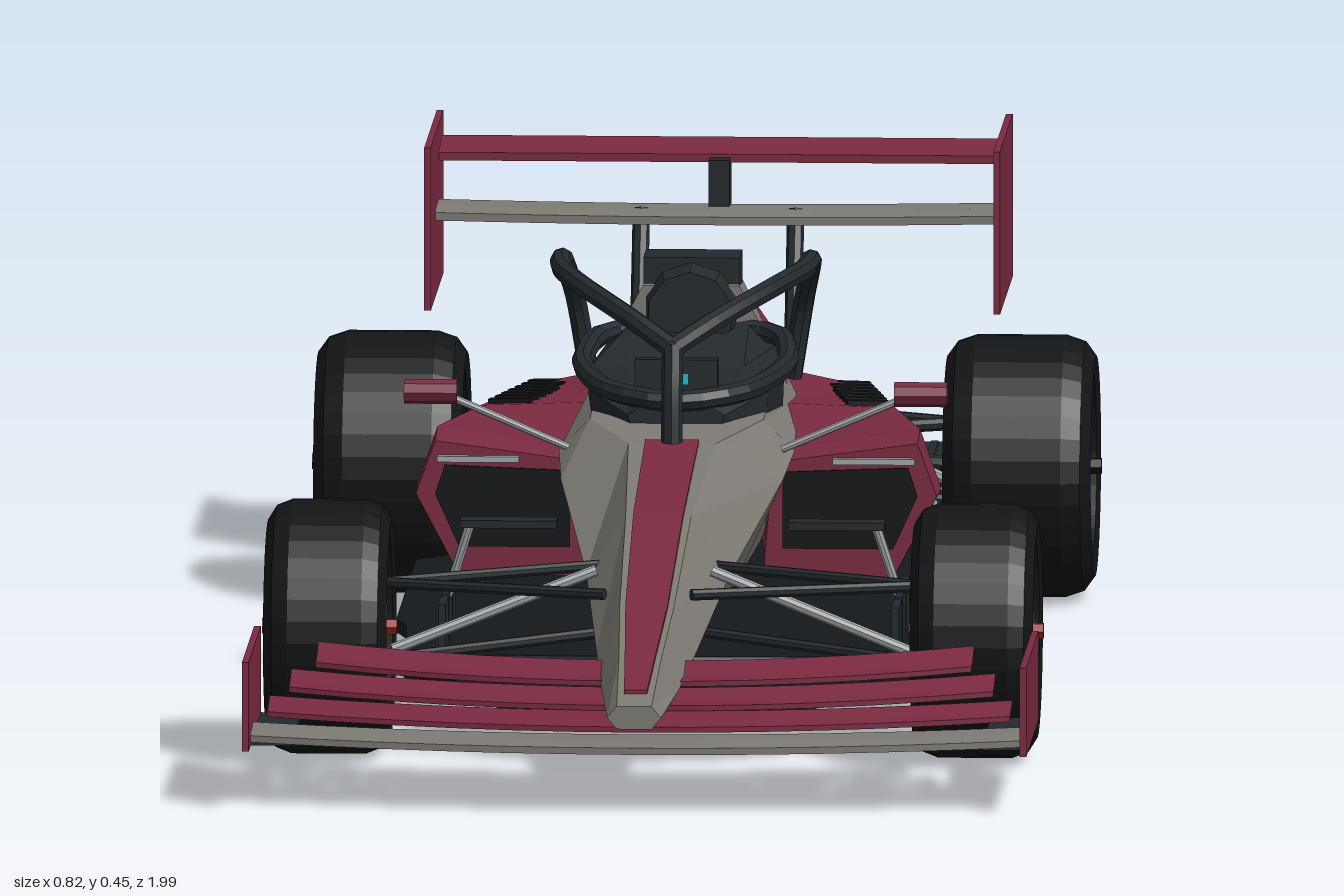
import * as THREE from 'three';

const paint = (color, side = THREE.FrontSide) => new THREE.MeshStandardMaterial({ color, flatShading: true, side });
const maroon = paint(0x7a2a40), grey = paint(0x7d7a74), dark = paint(0x23292d), black = paint(0x121416);
const silver = paint(0xa4a8ab), red = paint(0xa02a20), cyan = paint(0x2fb6cc), floorMat = paint(0x15191b);

function mesh(name, geo, mat) {
  const m = new THREE.Mesh(geo, mat);
  m.name = name;
  return m;
}
function box(name, mat, w, h, d, x, y, z) {
  const m = mesh(name, new THREE.BoxGeometry(w, h, d), mat);
  m.position.set(x, y, z);
  return m;
}
function rod(name, mat, a, b, r) {
  const p = new THREE.Vector3(...a), q = new THREE.Vector3(...b);
  const m = mesh(name, new THREE.CylinderGeometry(r, r, p.distanceTo(q), 8), mat);
  m.position.copy(p).lerp(q, 0.5);
  m.quaternion.setFromUnitVectors(new THREE.Vector3(0, 1, 0), q.sub(p).normalize());
  return m;
}
function tube(name, mat, pts, r, closed = false) {
  const curve = new THREE.CatmullRomCurve3(pts.map(p => new THREE.Vector3(...p)), closed, 'centripetal');
  return mesh(name, new THREE.TubeGeometry(curve, 36, r, 8, closed), mat);
}
// Skin a run of closed cross-sections and cap both ends
function loft(name, mat, rings) {
  const v = [], n = rings[0].length, last = rings.length - 1;
  const tri = (a, b, c) => v.push(...a, ...b, ...c);
  for (let s = 0; s < last; s++) for (let i = 0; i < n; i++) {
    const j = (i + 1) % n, A = rings[s], B = rings[s + 1];
    tri(A[i], A[j], B[j]);
    tri(A[i], B[j], B[i]);
  }
  for (let i = 1; i < n - 1; i++) {
    tri(rings[0][0], rings[0][i + 1], rings[0][i]);
    tri(rings[last][0], rings[last][i], rings[last][i + 1]);
  }
  const g = new THREE.BufferGeometry();
  g.setAttribute('position', new THREE.Float32BufferAttribute(v, 3));
  g.computeVertexNormals();
  return mesh(name, g, mat);
}
const ring = (z, pts) => pts.map(([x, y]) => [x, y, z]);
// Half outline from bottom to top, mirrored across x
const symRing = (z, half) => ring(z, [...half, ...half.map(([x, y]) => [-x, y]).reverse()]);

// Swept wing blade running across the car
function blade(name, mat, half, zMid, zTip, chord, yMid, yTip, tilt, t = 0.008) {
  const rings = [];
  for (let i = 0; i <= 12; i++) {
    const u = i / 6 - 1, k = u * u, x = u * half;
    const z = zMid + (zTip - zMid) * k, y = yMid + (yTip - yMid) * k;
    rings.push([[x, y, z], [x, y + tilt, z - chord], [x, y + tilt + t * 0.6, z - chord], [x, y + t, z - chord * 0.4], [x, y + t * 0.7, z]]);
  }
  return loft(name, mat, rings);
}

function wheel(name, R, w, nutMat) {
  const g = new THREE.Group(), h = w / 2, r = R * 0.66;
  g.name = name;
  const lathe = (label, mat, pts) => {
    const m = mesh(label, new THREE.LatheGeometry(pts.map(p => new THREE.Vector2(...p)), 36), mat);
    m.rotation.z = -Math.PI / 2;
    g.add(m);
  };
  lathe('tyre', black, [[r, -h * 0.8], [R * 0.72, -h * 0.95], [R * 0.84, -h], [R * 0.95, -h * 0.86], [R, -h * 0.6],
    [R, h * 0.6], [R * 0.95, h * 0.86], [R * 0.84, h], [R * 0.72, h * 0.95], [r, h * 0.8], [r, -h * 0.8]]);
  lathe('brakeDrum', black, [[0.001, -h * 0.5], [r, -h * 0.5], [r, h * 0.5], [0.001, h * 0.5]]);
  for (const s of [-1, 1]) {
    const lip = mesh('rimLip', new THREE.TorusGeometry(r * 0.98, 0.003, 6, 36), silver);
    lip.rotation.y = Math.PI / 2;
    lip.position.x = s * h * 0.82;
    g.add(lip);
    for (let i = 0; i < 10; i++) {
      const a = i * Math.PI / 5;
      const spoke = box('spoke', silver, 0.006, r * 0.9, 0.006, s * h * 0.72, Math.cos(a) * r * 0.53, Math.sin(a) * r * 0.53);
      spoke.rotation.x = a;
      g.add(spoke);
    }
  }
  const hub = mesh('hub', new THREE.CylinderGeometry(0.018, 0.018, w * 0.86, 12), silver);
  const nut = mesh('wheelNut', new THREE.CylinderGeometry(0.009, 0.009, w + 0.012, 6), nutMat);
  hub.rotation.z = nut.rotation.z = Math.PI / 2;
  g.add(hub, nut);
  return g;
}

// Everything that exists once per side, built on the +x side
function buildSide() {
  const g = new THREE.Group();
  const front = wheel('frontWheel', 0.132, 0.128, red), rear = wheel('rearWheel', 0.136, 0.154, black);
  front.position.set(0.335, 0.134, 0.57);
  rear.position.set(0.326, 0.136, -0.613);
  g.add(front, rear);

  // Suspension arms
  for (const [y, yIn] of [[0.18, 0.185], [0.1, 0.115]]) {
    for (const z of [0.46, 0.68]) g.add(rod('frontWishbone', dark, [0.28, y, 0.57], [0.045, yIn, z], 0.006));
    for (const z of [-0.48, -0.7]) g.add(rod('rearWishbone', dark, [0.26, y, -0.613], [0.05, yIn, z], 0.007));
  }
  g.add(rod('frontPushrod', silver, [0.27, 0.11, 0.57], [0.06, 0.19, 0.54], 0.006));
  g.add(rod('rearPushrod', silver, [0.25, 0.12, -0.61], [0.07, 0.22, -0.55], 0.006));
  g.add(rod('rearDriveshaft', dark, [0.27, 0.136, -0.613], [0.04, 0.136, -0.64], 0.01));

  // Sidepod with intake, lip, side strake and louvres
  const pod = (z, p) => ring(z, p);
  g.add(loft('sidepod', maroon, [
    pod(-0.66, [[0.04, 0.12], [0.11, 0.12], [0.14, 0.17], [0.12, 0.215], [0.04, 0.25]]),
    pod(-0.45, [[0.06, 0.1], [0.185, 0.1], [0.21, 0.17], [0.18, 0.24], [0.06, 0.265]]),
    pod(-0.2, [[0.08, 0.1], [0.215, 0.1], [0.245, 0.18], [0.215, 0.255], [0.08, 0.26]]),
    pod(0, [[0.09, 0.11], [0.225, 0.11], [0.272, 0.2], [0.25, 0.262], [0.1, 0.24]]),
    pod(0.06, [[0.09, 0.115], [0.225, 0.115], [0.27, 0.2], [0.25, 0.255], [0.1, 0.235]])]));
  g.add(loft('sidepodIntake', black, [0.055, 0.063].map(z => ring(z, [[0.11, 0.145], [0.225, 0.145], [0.25, 0.2], [0.24, 0.23], [0.11, 0.225]]))));
  g.add(box('intakeLip', silver, 0.085, 0.006, 0.012, 0.205, 0.237, 0.064));
  g.add(rod('sideStrake', silver, [0.262, 0.175, -0.07], [0.239, 0.165, -0.28], 0.003));
  for (let i = 0; i < 7; i++) {
    const slit = box('louvre', black, 0.045, 0.006, 0.012, 0.185 - i * 0.005, 0.257 - i * 0.0022, -0.22 - i * 0.038);
    slit.rotation.set(0, 0.25, -0.06);
    g.add(slit);
  }
  // Maroon flank of the engine cover
  g.add(loft('coverFlank', maroon, [
    ring(-0.76, [[0.02, 0.21], [0.045, 0.215], [0.03, 0.262]]),
    ring(-0.6, [[0.02, 0.22], [0.1, 0.235], [0.038, 0.325]]),
    ring(-0.42, [[0.02, 0.24], [0.075, 0.25], [0.045, 0.3]])]));

  // Bargeboards along the floor edge
  for (const [z, d] of [[0.2, 0.06], [0.115, 0.075], [0.035, 0.07]]) g.add(box('bargeboard', dark, 0.008, 0.052, d, 0.235, 0.082, z));
  g.add(box('turningVane', dark, 0.1, 0.008, 0.03, 0.17, 0.18, 0.13));
  g.add(rod('vaneStrut', silver, [0.21, 0.18, 0.13], [0.235, 0.1, 0.115], 0.005));

  // Mirror
  const shell = mesh('mirror', new THREE.CylinderGeometry(0.013, 0.013, 0.055, 8), maroon);
  shell.rotation.z = Math.PI / 2;
  shell.position.set(0.254, 0.308, 0.07);
  g.add(shell, rod('mirrorStalk', silver, [0.232, 0.302, 0.07], [0.11, 0.25, 0.07], 0.004));

  // Wing endplates, pylon and diffuser fences
  g.add(box('frontEndplate', maroon, 0.007, 0.093, 0.268, 0.403, 0.108, 0.848));
  g.add(box('frontFootplate', dark, 0.045, 0.006, 0.2, 0.38, 0.062, 0.82));
  g.add(box('rearEndplate', maroon, 0.007, 0.17, 0.278, 0.295, 0.363, -0.861));
  g.add(rod('rearWingPylon', dark, [0.08, 0.1, -0.73], [0.08, 0.365, -0.865], 0.009));
  for (const x of [0.08, 0.15, 0.225]) g.add(box('diffuserFence', dark, 0.008, 0.07, 0.13, x, 0.093, -0.782));

  // Halo side: from the top of the pillar around to the cockpit rear
  g.add(tube('haloArm', dark, [[0, 0.365, 0.142], [0.045, 0.39, 0.1], [0.1, 0.413, 0.02], [0.125, 0.416, -0.08], [0.128, 0.408, -0.19],
    [0.118, 0.36, -0.24], [0.105, 0.28, -0.25]], 0.011));
  return g;
}

export function createModel() {
  const car = new THREE.Group();
  car.name = 'openWheelRacingCar';

  const left = buildSide(), right = buildSide();
  left.name = 'leftSide';
  right.name = 'rightSide';
  right.scale.x = -1;
  car.add(left, right);

  // Nose and tub
  car.add(loft('noseAndTub', grey, [
    symRing(-0.3, [[0.07, 0.1], [0.11, 0.25], [0.09, 0.29]]),
    symRing(0.05, [[0.06, 0.105], [0.122, 0.245], [0.09, 0.278]]),
    symRing(0.16, [[0.05, 0.105], [0.115, 0.23], [0.045, 0.268]]),
    symRing(0.45, [[0.04, 0.095], [0.075, 0.175], [0.034, 0.234]]),
    symRing(0.71, [[0.03, 0.09], [0.052, 0.13], [0.028, 0.175]]),
    symRing(0.85, [[0.026, 0.085], [0.04, 0.11], [0.022, 0.143]]),
    symRing(0.985, [[0.018, 0.088], [0.028, 0.1], [0.018, 0.112]])]));
  car.add(loft('noseStripe', maroon, [[0.15, 0.267, 0.028], [0.45, 0.234, 0.026], [0.71, 0.175, 0.022], [0.85, 0.143, 0.016], [0.95, 0.12, 0.012]]
    .map(([z, y, w]) => symRing(z, [[w, y - 0.004], [w, y + 0.004]]))));

  // Cockpit
  car.add(loft('cockpit', dark, [
    symRing(-0.27, [[0.08, 0.25], [0.088, 0.31], [0.06, 0.335]]),
    symRing(-0.15, [[0.1, 0.25], [0.102, 0.3], [0.06, 0.305]]),
    symRing(0, [[0.09, 0.25], [0.092, 0.3], [0.055, 0.305]]),
    symRing(0.07, [[0.04, 0.25], [0.05, 0.285], [0.035, 0.295]])]));
  car.add(tube('cockpitRim', dark, [[0, 0.3, 0.075], [0.06, 0.305, 0.05], [0.098, 0.31, -0.06], [0.105, 0.315, -0.17], [0.08, 0.325, -0.26],
    [-0.08, 0.325, -0.26], [-0.105, 0.315, -0.17], [-0.098, 0.31, -0.06], [-0.06, 0.305, 0.05]], 0.011, true));
  car.add(box('dashboard', dark, 0.086, 0.05, 0.02, 0, 0.317, 0.055));
  car.add(box('dashScreen', cyan, 0.026, 0.012, 0.004, 0, 0.322, 0.066));
  for (let i = -2; i <= 2; i++) car.add(box('dashLight', i % 2 ? red : cyan, 0.004, 0.004, 0.004, i * 0.014, 0.3, 0.066));
  car.add(tube('haloPillar', dark, [[0, 0.262, 0.16], [0, 0.32, 0.153], [0, 0.368, 0.14]], 0.011));

  // Engine cover, air intake and headrest
  car.add(loft('engineCover', grey, [
    symRing(-0.83, [[0.022, 0.19], [0.03, 0.21], [0.018, 0.24]]),
    symRing(-0.73, [[0.035, 0.14], [0.04, 0.22], [0.024, 0.285]]),
    symRing(-0.55, [[0.06, 0.12], [0.065, 0.26], [0.03, 0.343]]),
    symRing(-0.36, [[0.08, 0.12], [0.085, 0.29], [0.042, 0.38]]),
    symRing(-0.265, [[0.09, 0.12], [0.1, 0.28], [0.05, 0.372]])]));
  const intake = mesh('airIntake', new THREE.CylinderGeometry(0.045, 0.052, 0.05, 10), dark);
  intake.rotation.x = Math.PI / 2;
  intake.position.set(0, 0.345, -0.262);
  car.add(intake, box('headrest', dark, 0.1, 0.04, 0.062, 0, 0.38, -0.305));

  // Floor and rising diffuser
  const half = [[0.09, 0.62], [0.14, 0.59], [0.27, 0.33], [0.28, 0.05], [0.293, 0], [0.293, -0.43], [0.24, -0.49], [0.24, -0.74]];
  const outline = [...half, ...half.map(([x, z]) => [-x, z]).reverse()].map(([x, z]) => new THREE.Vector2(x, z));
  const floor = mesh('floor', new THREE.ExtrudeGeometry(new THREE.Shape(outline), { depth: 0.014, bevelEnabled: false }), floorMat);
  floor.rotation.x = Math.PI / 2;
  floor.position.y = 0.06;
  car.add(floor);
  car.add(loft('diffuser', dark, [
    symRing(-0.845, [[0.235, 0.115], [0.235, 0.127]]),
    symRing(-0.7, [[0.235, 0.047], [0.235, 0.062]])]));

  // Gearbox, exhaust and rain light
  car.add(box('gearbox', dark, 0.1, 0.11, 0.26, 0, 0.135, -0.7));
  car.add(box('crashStructure', dark, 0.05, 0.05, 0.09, 0, 0.145, -0.81));
  car.add(rod('exhaust', silver, [0, 0.215, -0.74], [0, 0.225, -0.85], 0.02));
  car.add(box('rainLight', red, 0.04, 0.028, 0.012, 0, 0.135, -0.86));

  // Front wing
  car.add(blade('frontWingMain', grey, 0.4, 0.99, 0.945, 0.065, 0.062, 0.066, 0.006, 0.01));
  car.add(blade('frontWingFlap', maroon, 0.385, 0.932, 0.885, 0.055, 0.077, 0.084, 0.01));
  car.add(blade('frontWingFlap', maroon, 0.365, 0.88, 0.83, 0.055, 0.092, 0.102, 0.012));
  car.add(blade('frontWingFlap', maroon, 0.34, 0.828, 0.775, 0.06, 0.11, 0.12, 0.014));

  // Rear wing
  car.add(blade('rearWingMain', grey, 0.293, -0.822, -0.822, 0.072, 0.355, 0.358, 0.005, 0.012));
  car.add(blade('rearWingFlap', maroon, 0.293, -0.898, -0.898, 0.08, 0.41, 0.41, 0.008, 0.012));
  car.add(box('flapActuator', dark, 0.022, 0.05, 0.04, 0, 0.39, -0.895));
  return car;
}
